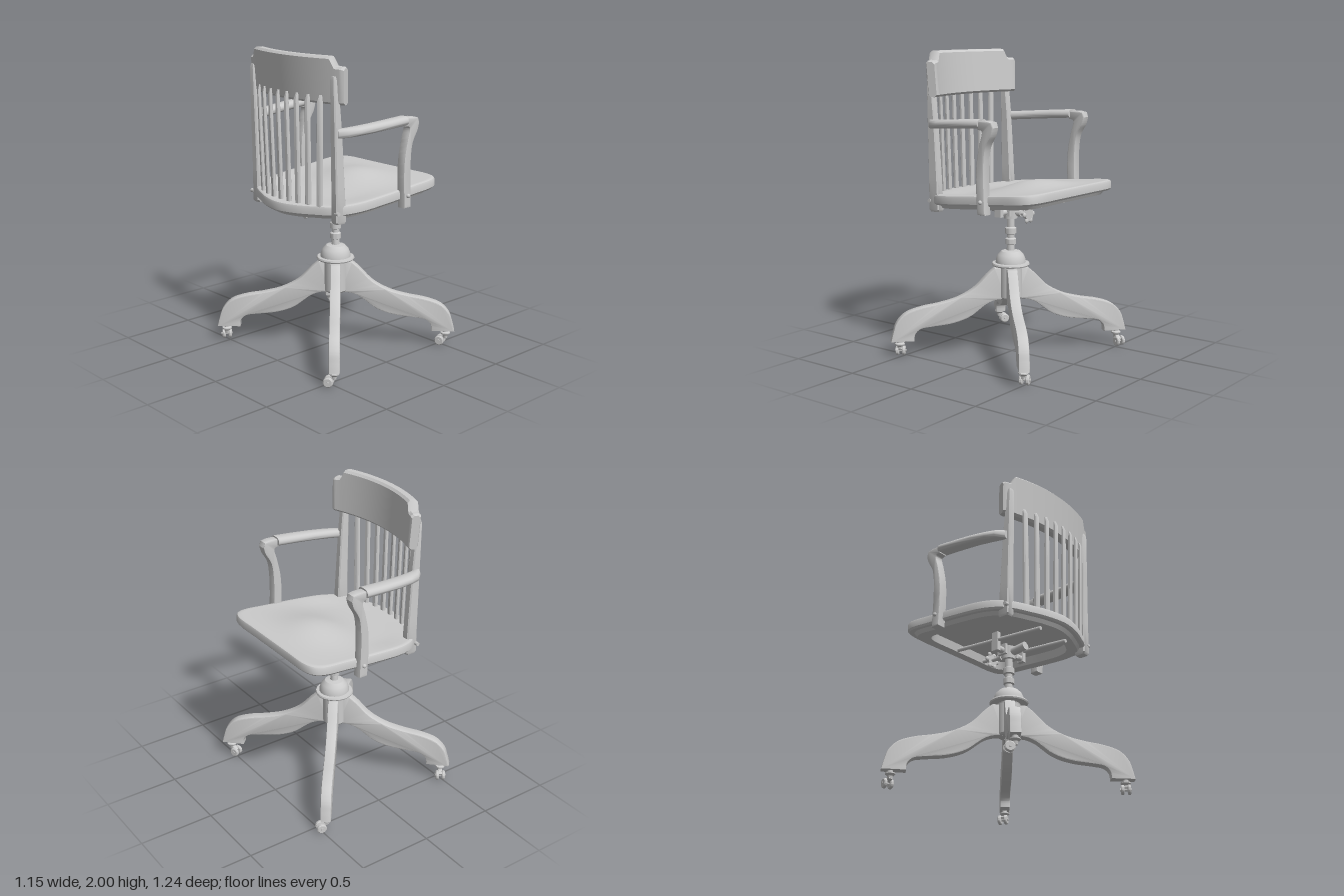
import * as THREE from 'three';
import { toCreasedNormals } from 'three/addons/utils/BufferGeometryUtils.js';

const V = (x, y, z) => new THREE.Vector3(x, y, z);
const material = new THREE.MeshStandardMaterial({ color: 0xcccccc });
const MID = 0.015; // the column and backrest sit slightly off centre in z

function add(parent, name, geometry, pos = [0, 0, 0], rot = [0, 0, 0]) {
  const mesh = new THREE.Mesh(geometry, material);
  mesh.name = name;
  mesh.position.set(...pos);
  mesh.rotation.set(...rot);
  parent.add(mesh);
  return mesh;
}

// Skin a row of equal-length loops and cap both ends
function loft(loops, crease = 0.6) {
  const n = loops[0].length, pos = [], index = [];
  const push = p => pos.push(p.x, p.y, p.z);
  loops.forEach(loop => loop.forEach(push));
  for (let i = 0; i < loops.length - 1; i++)
    for (let j = 0; j < n; j++) {
      const a = i * n + j, b = i * n + (j + 1) % n;
      index.push(a, b, b + n, a, b + n, a + n);
    }
  [0, loops.length - 1].forEach((row, end) => {
    const centre = V(0, 0, 0);
    loops[row].forEach(p => centre.addScaledVector(p, 1 / n));
    const c = pos.length / 3;
    push(centre);
    for (let j = 0; j < n; j++) {
      const a = row * n + j, b = row * n + (j + 1) % n;
      end ? index.push(c, a, b) : index.push(c, b, a);
    }
  });
  // Turn the faces outward when the signed volume is negative
  const at = i => V(pos[3 * i], pos[3 * i + 1], pos[3 * i + 2]);
  let volume = 0;
  for (let i = 0; i < index.length; i += 3)
    volume += at(index[i]).dot(at(index[i + 1]).cross(at(index[i + 2])));
  if (volume < 0) index.reverse();
  const g = new THREE.BufferGeometry();
  g.setAttribute('position', new THREE.Float32BufferAttribute(pos, 3));
  g.setIndex(index);
  return toCreasedNormals(g, crease);
}

// Rectangle with clipped corners, as [u, v] pairs
function softRect(w, h, r) {
  const a = w / 2, b = h / 2;
  return [[a, r - b], [a, b - r], [a - r, b], [r - a, b], [-a, b - r], [-a, r - b], [r - a, -b], [a - r, -b]];
}

function slab(shape, depth) {
  const bevel = 0.008;
  const g = new THREE.ExtrudeGeometry(shape, {
    depth: depth - 2 * bevel, bevelSize: bevel, bevelOffset: -bevel, bevelThickness: bevel, bevelSegments: 2, curveSegments: 8,
  });
  g.translate(0, 0, bevel - depth / 2);
  return toCreasedNormals(g, 0.6);
}

const lathe = pts => toCreasedNormals(
  new THREE.LatheGeometry(pts.map(p => new THREE.Vector2(...p)), 32), 0.5);

const vec2 = pts => pts.map(p => new THREE.Vector2(...p));

// Saddled seat: one outline scaled through rings, hollow underneath
function seatGeometry() {
  const half = [[0.51, 0], [0.51, 0.2], [0.508, 0.38], [0.48, 0.45], [0.42, 0.482], [0.25, 0.484], [0, 0.482],
    [-0.2, 0.465], [-0.31, 0.42], [-0.365, 0.36], [-0.42, 0.25], [-0.465, 0.14], [-0.49, 0]];
  const all = [...half, ...half.slice(1, -1).reverse().map(([x, z]) => [x, -z])];
  const outline = new THREE.CatmullRomCurve3(all.map(([x, z]) => V(x, 0, z)), true, 'centripetal').getPoints(96).slice(0, 96);
  const rings = [[0.05, 0.03], [0.74, 0.03], [0.76, -0.025], [0.9, -0.025], [0.93, 0], [0.98, 0], [1, 0.012], [1, 0.05],
    [0.99, 0.062], [0.97, 0.067], [0.94, 0.067], [0.86, 0.067], [0.74, 0.067], [0.62, 0.067], [0.5, 0.067], [0.38, 0.067],
    [0.26, 0.067], [0.14, 0.067], [0.03, 0.067]];
  return loft(rings.map(([s, y], i) => outline.map(p => {
    const x = p.x * s, z = p.z * s;
    const inner = i > 9 ? THREE.MathUtils.smoothstep(1 - s, 0.03, 0.4) : 0;
    const pommel = 0.05 * Math.exp(-((x - 0.16) ** 2) / 0.04 - z * z / 0.05);
    const dish = 0.016 * Math.exp(-((x + 0.15) ** 2) / 0.04);
    return V(x, 1.045 + 0.09 * x + y + inner * (pommel - dish), z);
  })));
}

// Curved top rail with a stepped crest
function railGeometry() {
  const loops = [];
  for (let i = 0; i <= 60; i++) {
    const u = -1 + i / 30, a = Math.abs(u);
    const top = 2 - 0.06 * THREE.MathUtils.smoothstep(a, 0.79, 0.88) - (a > 0.99 ? 0.008 : 0);
    const x = -0.385 + 0.078 * u * u;
    const d = a > 0.99 ? 0.05 : 0.066;
    loops.push(softRect(d, top - 1.71, 0.014).map(([px, py]) => {
      const y = py + (top + 1.71) / 2;
      const lean = -0.05 * (y - 1.85) - 0.012 * (1 - u * u) * (y > 1.85 ? 1 : 0);
      return V(x + px + lean, y, MID + u * (0.418 + 0.045 * (y - 1.71)) + px * -0.35 * u);
    }));
  }
  return loft(loops);
}

function addBack(chair) {
  add(chair, 'topRail', railGeometry());
  for (let i = 0; i < 8; i++) {
    const t = (i - 3.5) / 3.5;
    const row = (y, x, z, w, d) => softRect(d, w, 0.006).map(([a, b]) => V(x + 0.65 * z * z + a + b * 1.2 * z, y, MID + z + b));
    add(chair, 'backSlat', loft([
      row(1.03, -0.432, t * 0.272, 0.034, 0.026), row(1.4, -0.442, t * 0.282, 0.032, 0.026),
      row(1.73, -0.45, t * 0.29, 0.028, 0.024), row(1.765, -0.444, t * 0.29, 0.02, 0.012)]));
  }
  for (const s of [1, -1]) {
    const row = (y, x0, x1, w) => softRect(x1 - x0, w, 0.008).map(([a, b]) => V((x0 + x1) / 2 + a, y, MID / 2 + s * 0.382 + b));
    add(chair, 'backPost', loft([row(0.97, -0.35, -0.285, 0.05), row(0.985, -0.36, -0.276, 0.06), row(1.2, -0.362, -0.287, 0.055),
      row(1.55, -0.37, -0.308, 0.05), row(1.86, -0.376, -0.338, 0.046), row(1.885, -0.37, -0.345, 0.035)]));
    add(chair, 'backPostBolt', new THREE.CylinderGeometry(0.013, 0.013, 0.03, 12), [-0.35, 1.04, s * 0.41], [Math.PI / 2, 0, 0]);
  }
}

function addArms(chair) {
  const post = new THREE.Shape();
  post.moveTo(0.127, 1.01);
  post.lineTo(0.187, 1.01);
  post.splineThru(vec2([[0.178, 1.25], [0.19, 1.41], [0.235, 1.5], [0.25, 1.55]]));
  post.lineTo(0.238, 1.583);
  post.lineTo(0.2, 1.59);
  post.lineTo(0.13, 1.588);
  post.lineTo(0.13, 1.535);
  post.splineThru(vec2([[0.165, 1.52], [0.145, 1.44], [0.122, 1.32], [0.118, 1.18], [0.127, 1.01]]));
  const rest = [[-0.35, 0.4, 0.045], [-0.3, 0.428, 0.085], [-0.23, 0.447, 0.092], [-0.13, 0.465, 0.095], [0, 0.478, 0.099], [0.135, 0.486, 0.102], [0.142, 0.486, 0.095]];
  for (const s of [1, -1]) {
    add(chair, 'armPost', slab(post, 0.064), [0, 0, s * 0.49]);
    // Armrest pad: rounded above, flatter below
    add(chair, 'armRest', loft(rest.map(([x, z, w]) => Array.from({ length: 20 }, (_, j) => {
      const a = j / 20 * Math.PI * 2, c = Math.cos(a), n = Math.sin(a);
      return V(x, 1.558 + 0.07 * x + n * (n > 0 ? 0.032 : 0.026),
        s * (z + Math.sign(c) * Math.pow(Math.abs(c), 0.6) * w / 2));
    })), 0.8));
    add(chair, 'armBolt', new THREE.SphereGeometry(0.014, 12, 8), [0.155, 1.09, s * 0.524]);
  }
}

// Tilt mechanism below the seat
function addMechanism(chair) {
  const g = new THREE.Group();
  g.name = 'tiltMechanism';
  g.position.z = MID;
  chair.add(g);
  for (const s of [1, -1]) {
    add(g, 'seatRod', new THREE.CylinderGeometry(0.013, 0.013, 0.72, 12), [-0.02, 1.006, s * 0.125], [0, 0, -Math.PI / 2 + 0.09]);
    add(g, 'hanger', new THREE.BoxGeometry(0.05, 0.13, 0.03), [0, 0.995, s * 0.125]);
    add(g, 'yokeCheek', new THREE.BoxGeometry(0.07, 0.07, 0.02), [0.005, 0.965, s * 0.055]);
  }
  const flatX = [0, 0, Math.PI / 2];
  add(g, 'pivotBar', new THREE.CylinderGeometry(0.022, 0.022, 0.27, 16), [0, 0.955, 0], [Math.PI / 2, 0, 0]);
  add(g, 'pivotHub', new THREE.CylinderGeometry(0.048, 0.045, 0.085, 20), [0, 0.95, 0]);
  add(g, 'springBarrel', new THREE.CylinderGeometry(0.028, 0.028, 0.11, 16), [-0.09, 0.962, 0], [0, 0, Math.PI / 2 - 0.1]);
  add(g, 'tensionScrew', new THREE.CylinderGeometry(0.013, 0.013, 0.13, 12), [0.09, 0.947, 0], flatX);
  add(g, 'screwCollar', new THREE.CylinderGeometry(0.022, 0.022, 0.03, 12), [0.075, 0.947, 0], flatX);
  add(g, 'knob', new THREE.CylinderGeometry(0.042, 0.042, 0.014, 18), [0.148, 0.947, 0], flatX);
  for (let i = 0; i < 6; i++) {
    const a = i * Math.PI / 3;
    add(g, 'knobLobe', new THREE.SphereGeometry(0.017, 10, 8), [0.148, 0.947 + 0.045 * Math.sin(a), 0.045 * Math.cos(a)]).scale.x = 0.6;
  }
}

function addBase(chair) {
  add(chair, 'column', lathe([[0, 0.56], [0.07, 0.56], [0.075, 0.59], [0.122, 0.592], [0.126, 0.6], [0.122, 0.61], [0.1, 0.612],
    [0.098, 0.635], [0.085, 0.665], [0.062, 0.688], [0.027, 0.694], [0.025, 0.73], [0.036, 0.735], [0.036, 0.77], [0.025, 0.778],
    [0.025, 0.8], [0.037, 0.806], [0.037, 0.842], [0.026, 0.85], [0.026, 0.93], [0, 0.93]]), [0, 0, MID]);
  add(chair, 'hub', lathe([[0, 0.315], [0.022, 0.315], [0.026, 0.32], [0.026, 0.365], [0.07, 0.37], [0.078, 0.38], [0.078, 0.58], [0, 0.58]]), [0, 0, MID]);
  // Leg profile: distance from the column against height
  const leg = new THREE.Shape();
  leg.moveTo(0.03, 0.365);
  leg.lineTo(0.03, 0.58);
  leg.lineTo(0.11, 0.578);
  leg.splineThru(vec2([[0.16, 0.535], [0.25, 0.445], [0.36, 0.385], [0.48, 0.352], [0.6, 0.33], [0.7, 0.295], [0.76, 0.235], [0.785, 0.165], [0.8, 0.105]]));
  leg.lineTo(0.645, 0.105);
  leg.splineThru(vec2([[0.64, 0.15], [0.605, 0.185], [0.54, 0.198], [0.4, 0.215], [0.28, 0.255], [0.17, 0.335], [0.1, 0.363], [0.03, 0.365]]));
  const legGeometry = slab(leg, 0.068);
  // Leg directions, and the way each caster has swivelled
  for (const [dx, dz, cx, cz] of [[0.555, 0.585, -0.02, -0.045], [-0.55, 0.585, -0.025, -0.035], [-0.555, -0.575, 0.025, -0.035], [0.51, -0.625, 0.045, 0.015]]) {
    add(chair, 'leg', legGeometry, [0, 0, MID], [0, -Math.atan2(dz, dx), 0]);
    const caster = new THREE.Group();
    caster.name = 'caster';
    const k = 0.74 / Math.hypot(dx, dz);
    caster.position.set(dx * k, 0, MID + dz * k);
    caster.rotation.y = -Math.atan2(cz, cx);
    chair.add(caster);
    add(caster, 'casterStem', lathe([[0, 0.05], [0.014, 0.05], [0.018, 0.07], [0.032, 0.082], [0.032, 0.09], [0.018, 0.095], [0.018, 0.115], [0, 0.115]]));
    add(caster, 'casterFork', new THREE.BoxGeometry(0.06, 0.022, 0.026), [0.018, 0.052, 0], [0, 0, -0.4]);
    for (const s of [1, -1])
      add(caster, 'casterWheel', lathe([[0, -0.011], [0.026, -0.011], [0.032, -0.006], [0.032, 0.006], [0.026, 0.011], [0, 0.011]]),
        [0.035, 0.032, s * 0.021], [Math.PI / 2, 0, 0]);
    add(caster, 'casterAxle', new THREE.CylinderGeometry(0.009, 0.009, 0.075, 10), [0.035, 0.032, 0], [Math.PI / 2, 0, 0]);
  }
}

export function createModel() {
  const chair = new THREE.Group();
  chair.name = 'swivelChair';
  add(chair, 'seat', seatGeometry());
  addBack(chair);
  addArms(chair);
  addMechanism(chair);
  addBase(chair);
  return chair;
}
